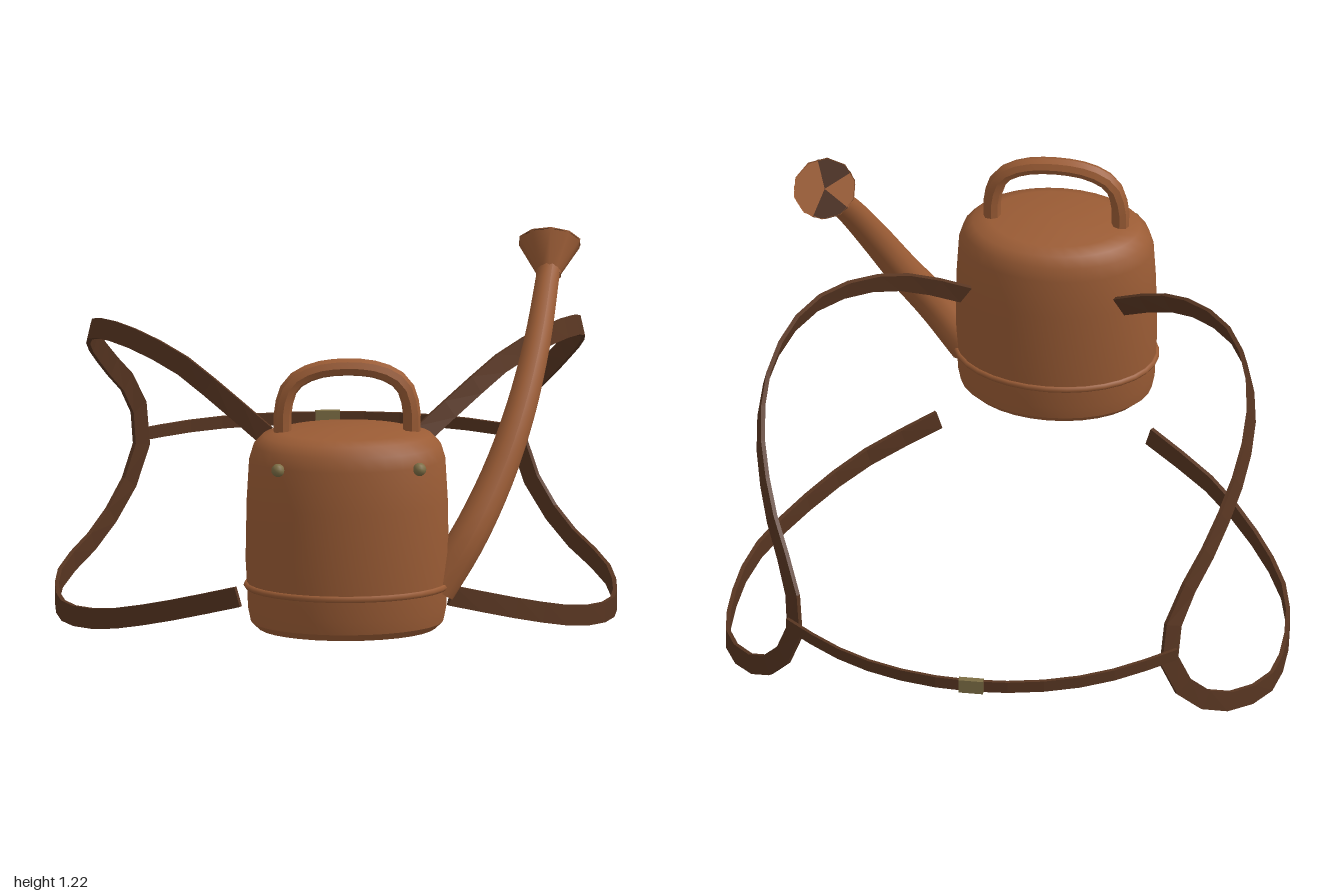
import * as THREE from 'three';
import { toCreasedNormals } from 'three/addons/utils/BufferGeometryUtils.js';

const mat = (color) => new THREE.MeshStandardMaterial({ color, side: THREE.DoubleSide });
const copper = mat(0x9b5c35), leather = mat(0x573521), brass = mat(0x7d6e45), dark = mat(0x4a2e1e);
const V = (x, y, z) => new THREE.Vector3(x, y, z);
const curve = (pts) => new THREE.CatmullRomCurve3(pts.map((p) => V(...p)));

function add(parent, name, geometry, material, x = 0, y = 0, z = 0) {
  const mesh = new THREE.Mesh(geometry, material);
  mesh.name = name;
  mesh.position.set(x, y, z);
  parent.add(mesh);
  return mesh;
}

// Flat band swept along a path; its broad face looks away from the wearer's axis.
function bandGeometry(pts, width, thickness, segments) {
  const path = curve(pts), pos = [], index = [];
  for (let i = 0; i <= segments; i++) {
    const p = path.getPointAt(i / segments), t = path.getTangentAt(i / segments);
    const n = V(p.x, 0, p.z + 0.2).normalize();
    n.y = Math.max(0, p.y - 0.5) * 0.7;
    n.addScaledVector(t, -n.dot(t)).normalize();
    const b = t.clone().cross(n).normalize();
    for (const [u, v] of [[-1, -1], [1, -1], [1, 1], [-1, 1]]) {
      const q = p.clone().addScaledVector(b, u * width / 2).addScaledVector(n, v * thickness / 2);
      pos.push(q.x, q.y, q.z);
    }
    if (i < segments) for (let k = 0; k < 4; k++) {
      const a = i * 4 + k, c = i * 4 + (k + 1) % 4;
      index.push(a, a + 4, c, c, a + 4, c + 4);
    }
  }
  const e = segments * 4;
  index.push(0, 1, 2, 0, 2, 3, e, e + 2, e + 1, e, e + 3, e + 2);
  // orient outward
  for (let i = 0; i < index.length - 12; i += 3) [index[i + 1], index[i + 2]] = [index[i + 2], index[i + 1]];
  for (let i = index.length - 12; i < index.length; i += 3) [index[i + 1], index[i + 2]] = [index[i + 2], index[i + 1]];
  const g = new THREE.BufferGeometry();
  g.setAttribute('position', new THREE.Float32BufferAttribute(pos, 3));
  g.setIndex(index);
  const flat = g.toNonIndexed();
  flat.computeVertexNormals();
  return flat;
}

// Round tube narrowing from r0 to r1.
function taperedTube(path, segments, r0, r1, sides) {
  const g = new THREE.TubeGeometry(path, segments, 1, sides), p = g.attributes.position;
  for (let i = 0; i < p.count; i++) {
    const f = Math.floor(i / (sides + 1)) / segments, c = path.getPointAt(f);
    const v = V(0, 0, 0).fromBufferAttribute(p, i).sub(c).multiplyScalar(r0 + (r1 - r0) * f).add(c);
    p.setXYZ(i, v.x, v.y, v.z);
  }
  g.computeVertexNormals();
  return g;
}

export function createModel() {
  const model = new THREE.Group();
  const can = new THREE.Group();
  can.name = 'wateringCan';
  can.position.z = 0.787;
  model.add(can);

  // Oval tank with rounded shoulder
  const profile = [[0, 0.18], [0.25, 0.18], [0.272, 0.2], [0.28, 0.24], [0.283, 0.31], [0.287, 0.38],
    [0.284, 0.55], [0.277, 0.67], [0.265, 0.71], [0.238, 0.738], [0.19, 0.75], [0, 0.757]];
  const tank = new THREE.LatheGeometry(profile.map(([r, y]) => new THREE.Vector2(r, y)), 32);
  add(can, 'tank', toCreasedNormals(tank, 0.6), copper).scale.z = 0.715;
  const ring = new THREE.TorusGeometry(0.283, 0.01, 6, 32).rotateX(Math.PI / 2).scale(1, 1, 0.715);
  add(can, 'tankRing', ring, copper, 0, 0.305, 0);

  // Carrying handle
  const arch = curve([[-0.182, 0.72, 0], [-0.18, 0.82, 0], [-0.155, 0.885, 0], [-0.08, 0.925, 0],
    [0.08, 0.925, 0], [0.155, 0.885, 0], [0.18, 0.82, 0], [0.182, 0.72, 0]]);
  add(can, 'handle', toCreasedNormals(new THREE.TubeGeometry(arch, 18, 0.025, 8), 0.5), copper);

  // Rivets on the front
  for (const s of [-1, 1]) add(can, 'rivet', new THREE.SphereGeometry(0.019, 10, 8), brass, s * 0.2, 0.668, 0.145);

  // Curved spout
  const spout = curve([[0.25, 0.29, 0.795], [0.34, 0.43, 0.775], [0.425, 0.59, 0.705], [0.49, 0.75, 0.62],
    [0.545, 0.93, 0.49], [0.585, 1.11, 0.315]]);
  add(model, 'spout', taperedTube(spout, 20, 0.057, 0.033, 12), copper);

  // Sprinkler rose: flared cone with a face of alternating sectors
  const rose = new THREE.Group();
  rose.name = 'sprinklerRose';
  rose.position.set(0.588, 1.168, 0.256);
  rose.quaternion.setFromUnitVectors(V(0, 1, 0), V(0.05, 0.75, -0.66).normalize());
  model.add(rose);
  const cone = new THREE.CylinderGeometry(0.09, 0.035, 0.1, 10, 1, true);
  add(rose, 'roseCone', cone, copper, 0, -0.05, 0);
  add(rose, 'roseCollar', new THREE.CylinderGeometry(0.037, 0.037, 0.015, 10), copper, 0, -0.098, 0);
  for (let i = 0; i < 5; i++) {
    const sector = new THREE.CircleGeometry(0.088, 2, i * Math.PI * 0.4, Math.PI * 0.4).rotateX(-Math.PI / 2);
    add(rose, 'roseFace', sector, i === 1 || i === 3 ? dark : copper, 0, -0.004, 0);
  }

  // Shoulder straps, mirrored
  const strap = [[0.22, 0.67, 0.5], [0.35, 0.765, 0.4], [0.455, 0.83, 0.29], [0.57, 0.865, 0.15], [0.645, 0.862, 0],
    [0.69, 0.82, -0.2], [0.68, 0.74, -0.4], [0.62, 0.62, -0.6], [0.555, 0.51, -0.725], [0.53, 0.38, -0.765],
    [0.575, 0.24, -0.73], [0.66, 0.13, -0.625], [0.765, 0.06, -0.43], [0.787, 0.035, -0.2], [0.758, 0.045, 0.02],
    [0.665, 0.075, 0.21], [0.5, 0.14, 0.4], [0.3, 0.21, 0.53]];
  for (const s of [-1, 1]) {
    const pts = strap.map(([x, y, z]) => [s * x, y, z]);
    add(model, s > 0 ? 'leftStrap' : 'rightStrap', bandGeometry(pts, 0.058, 0.012, 30), leather);
  }

  // Rear cross strap and its buckle
  const half = [[0.555, 0.38, -0.762], [0.41, 0.379, -0.875], [0.27, 0.378, -0.945], [0.13, 0.377, -0.98]];
  const cross = [...half, [0, 0.376, -0.99], ...half.map(([x, y, z]) => [-x, y, z]).reverse()];
  add(model, 'crossStrap', bandGeometry(cross, 0.035, 0.01, 12), leather);
  add(model, 'buckle', new THREE.BoxGeometry(0.07, 0.042, 0.018), brass, 0, 0.376, -0.99);
  return model;
}
